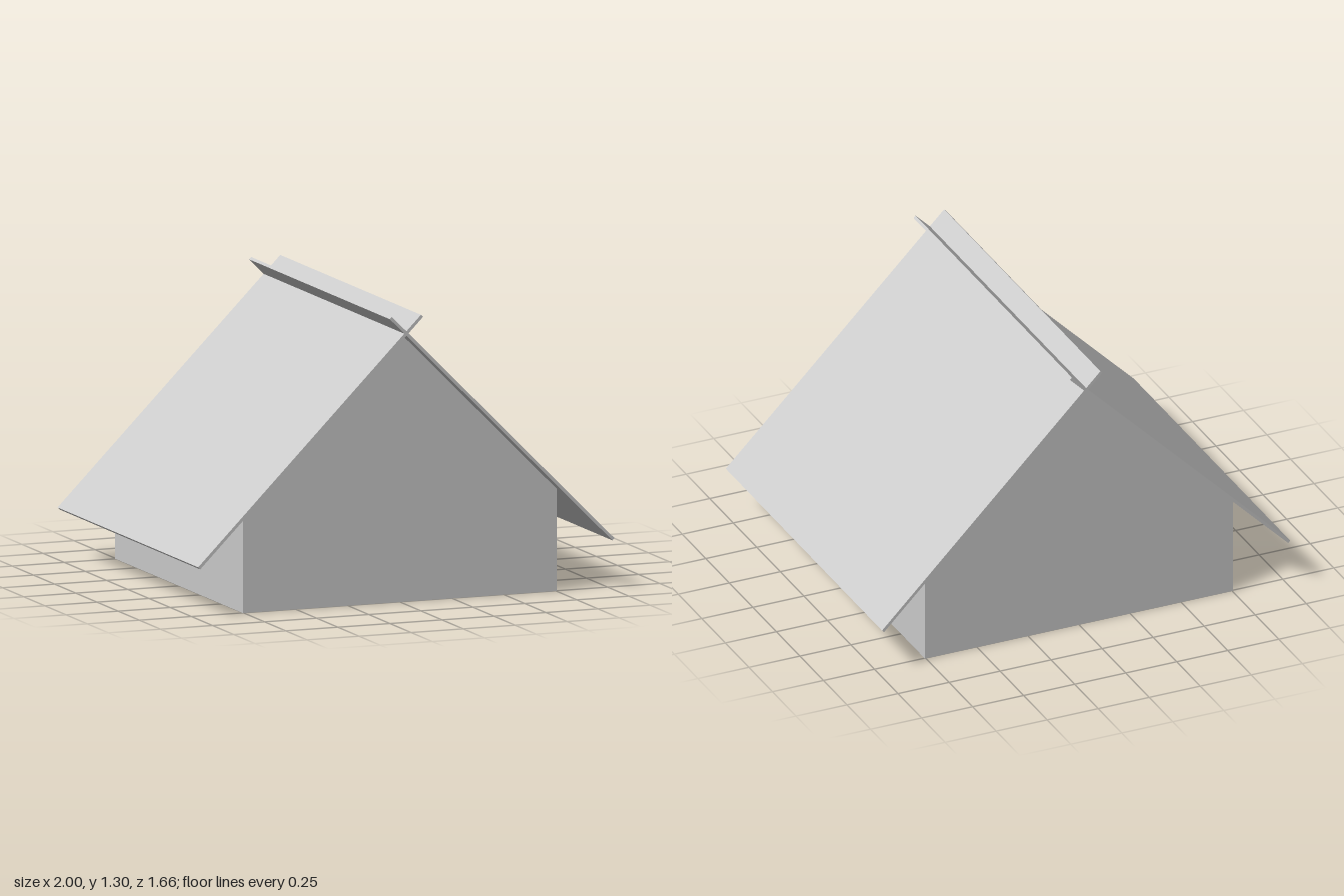
import * as THREE from 'three';

export function createModel() {
  const group = new THREE.Group();
  const material = new THREE.MeshStandardMaterial({ color: 0xcccccc, flatShading: true });

  // Gabled house body, extruded front to back
  const half = 0.755, eaves = 0.46, peak = 1.215;
  const gable = new THREE.Shape([
    new THREE.Vector2(-half, 0),
    new THREE.Vector2(half, 0),
    new THREE.Vector2(half, eaves),
    new THREE.Vector2(0, peak),
    new THREE.Vector2(-half, eaves),
  ]);
  const bodyGeometry = new THREE.ExtrudeGeometry(gable, { depth: 2 * half, bevelEnabled: false });
  bodyGeometry.translate(0, 0, -half);
  const body = new THREE.Mesh(bodyGeometry, material);
  body.name = 'houseBody';
  group.add(body);

  // Two thin 45-degree roof panels that cross above the ridge
  const panelGeometry = new THREE.BoxGeometry(1.513, 0.0141, 1.66);
  for (const side of [1, -1]) {
    const panel = new THREE.Mesh(panelGeometry, material);
    panel.name = side > 0 ? 'leftRoofPanel' : 'rightRoofPanel';
    panel.position.set(side * 0.46, 0.765, 0);
    panel.rotation.z = -side * Math.PI / 4;
    group.add(panel);
  }

  return group;
}
